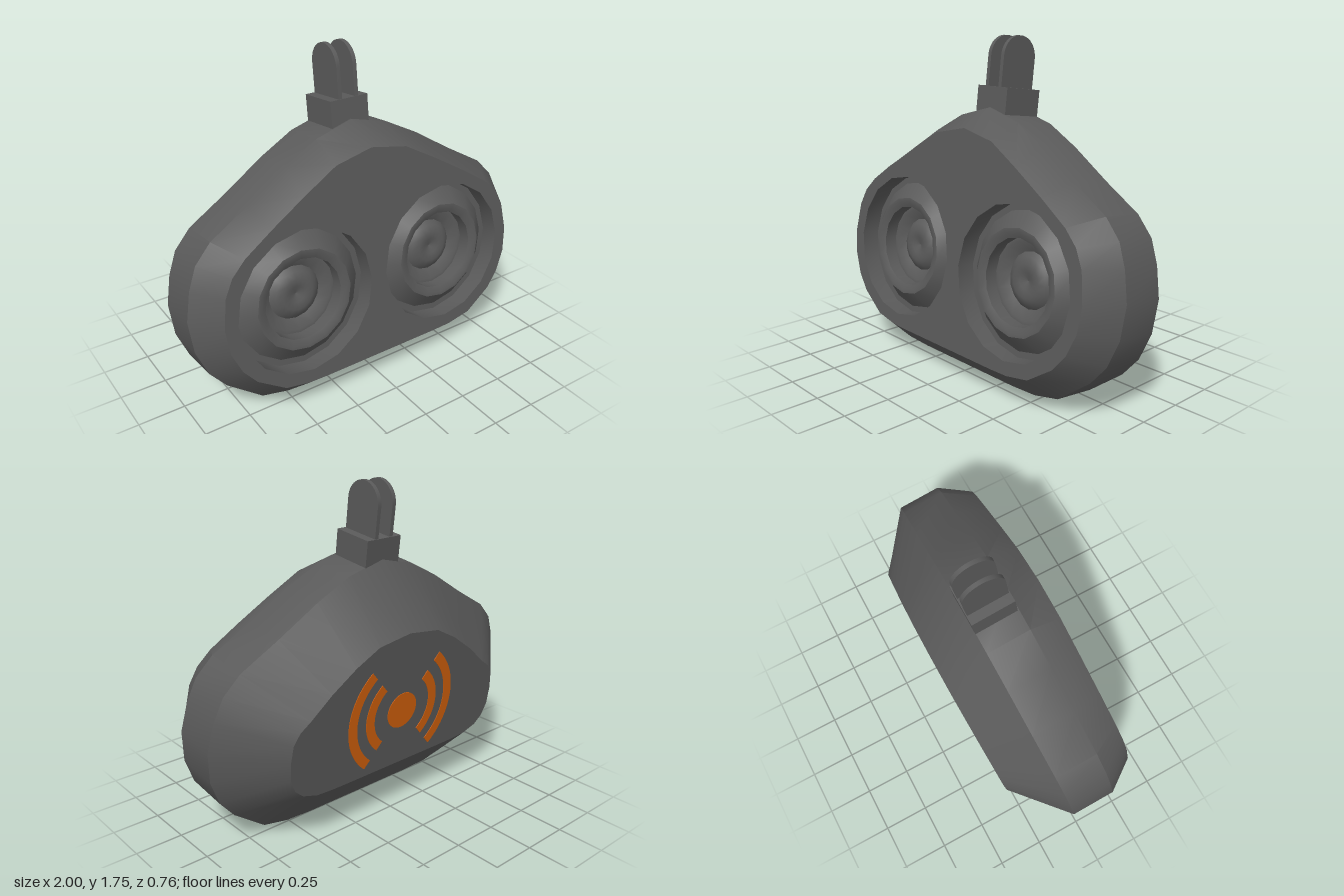
import * as THREE from 'three';
import { toCreasedNormals } from 'three/addons/utils/BufferGeometryUtils.js';

const CREASE = 0.56;
const SIDES = 16;
const SPEAKER = { x: 0.43, y: 0.576, r: 0.385 };

// Right half outlines of the housing, from top centre to bottom centre
const FRONT = [[0, 1.271], [0.21, 1.228], [0.4, 1.12], [0.58, 1.01], [0.74, 0.905], [0.815, 0.83], [0.86, 0.74], [0.885, 0.585],
  [0.87, 0.45], [0.82, 0.335], [0.75, 0.25], [0.6, 0.15], [0.46, 0.125], [0.35, 0.122], [0, 0.122]];
const SIDE = [[0, 1.382], [0.214, 1.325], [0.4, 1.227], [0.62, 1.088], [0.83, 0.965], [0.92, 0.87], [0.968, 0.752], [1, 0.6],
  [0.985, 0.43], [0.93, 0.29], [0.845, 0.187], [0.66, 0.045], [0.51, 0.012], [0.35, 0.005], [0, 0.005]];
const BACK = [[0, 1.073], [0.2, 1.045], [0.34, 0.97], [0.48, 0.87], [0.6, 0.765], [0.66, 0.72], [0.695, 0.66], [0.706, 0.57],
  [0.7, 0.47], [0.67, 0.4], [0.62, 0.355], [0.53, 0.325], [0.43, 0.319], [0.32, 0.318], [0, 0.318]];

// Mirror a half outline into a closed ring
function ring(half) {
  const left = half.slice(1, -1).reverse().map(([x, y]) => [-x, y]);
  return [...half, ...left].map(([x, y]) => new THREE.Vector2(x, y));
}

// Skin a list of rings placed along z, from front to back
function loft(sections) {
  const n = sections[0].pts.length;
  const pos = [], index = [];
  for (const { pts, z } of sections) for (const p of pts) pos.push(p.x, p.y, z);
  for (let s = 0; s < sections.length - 1; s++) {
    for (let i = 0; i < n; i++) {
      const a = s * n + i, b = s * n + (i + 1) % n;
      index.push(a, b, a + n, b, b + n, a + n);
    }
  }
  const g = new THREE.BufferGeometry();
  g.setAttribute('position', new THREE.Float32BufferAttribute(pos, 3));
  g.setIndex(index);
  return toCreasedNormals(g, CREASE);
}

// Curved bar of the signal mark, centred on angle mid
function arcBar(inner, outer, mid, spread) {
  const s = new THREE.Shape();
  s.absarc(0, 0, outer, mid - spread, mid + spread, false);
  s.absarc(0, 0, inner, mid + spread, mid - spread, true);
  return s;
}

export function createModel() {
  const grey = new THREE.MeshStandardMaterial({ color: 0x5a5a5a });
  grey.name = 'charcoal grey';
  const orange = new THREE.MeshStandardMaterial({ color: 0xd2600c });
  orange.name = 'orange';

  const model = new THREE.Group();
  model.name = 'twinSpeakerUnit';
  const body = new THREE.Group();
  body.name = 'tiltedBody';
  body.rotation.x = -0.122;
  model.add(body);

  const add = (name, geometry, material, x = 0, y = 0, z = 0) => {
    const m = new THREE.Mesh(geometry, material);
    m.name = name;
    m.position.set(x, y, z);
    body.add(m);
    return m;
  };

  // Housing shell with bevelled front and back
  const side = ring(SIDE);
  add('housing', loft([
    { pts: ring(FRONT), z: 0.398 },
    { pts: side, z: 0.235 },
    { pts: side, z: 0 },
    { pts: ring(BACK), z: -0.25 },
  ]), grey);

  // Front panel with two openings
  const panel = new THREE.Shape(ring(FRONT));
  for (const sx of [-1, 1]) {
    const hole = [];
    for (let i = 0; i < SIDES; i++) {
      const a = (i / SIDES) * Math.PI * 2;
      hole.push(new THREE.Vector2(sx * SPEAKER.x + SPEAKER.r * Math.cos(a), SPEAKER.y + SPEAKER.r * Math.sin(a)));
    }
    panel.holes.push(new THREE.Path(hole));
  }
  add('frontPanel', new THREE.ShapeGeometry(panel), grey, 0, 0, 0.398);

  // Back panel
  const backPanel = new THREE.ShapeGeometry(new THREE.Shape(ring(BACK)));
  backPanel.rotateY(Math.PI);
  add('backPanel', backPanel, grey, 0, 0, -0.25);

  // Speakers: recess, raised surround, inner cone and dimpled cap
  const profile = [
    [0.385, 0], [0.385, -0.1], [0.352, -0.1], [0.268, -0.025], [0.25, -0.025], [0.218, -0.04],
    [0.218, -0.11], [0.2, -0.11], [0.145, -0.14], [0.12, -0.115], [0.085, -0.1], [0.045, -0.105], [0, -0.125],
  ].map(([r, d]) => new THREE.Vector2(r, d));
  const speaker = new THREE.LatheGeometry(profile, SIDES);
  speaker.rotateX(Math.PI / 2);
  const speakerGeometry = toCreasedNormals(speaker, CREASE);
  add('leftSpeaker', speakerGeometry, grey, SPEAKER.x, SPEAKER.y, 0.398);
  add('rightSpeaker', speakerGeometry, grey, -SPEAKER.x, SPEAKER.y, 0.398);

  // Mount block and its two rounded prongs
  add('mountBlock', new THREE.BoxGeometry(0.22, 0.2, 0.23), grey, 0, 1.39, 0.113);
  const tab = new THREE.Shape();
  tab.moveTo(-0.11, 0);
  tab.lineTo(0.11, 0);
  tab.lineTo(0.11, 0.19);
  tab.absarc(0, 0.19, 0.11, 0, Math.PI, false);
  tab.closePath();
  const prong = new THREE.ExtrudeGeometry(tab, { depth: 0.022, bevelEnabled: false, curveSegments: 10 });
  prong.translate(0, 0, -0.011);
  prong.rotateY(Math.PI / 2);
  const prongGeometry = toCreasedNormals(prong, CREASE);
  for (const sx of [1, -1]) {
    add(sx > 0 ? 'leftProng' : 'rightProng', prongGeometry, grey, sx * 0.048, 1.458, 0.113);
  }

  // Signal mark on the back: a dot with two arcs on each side
  const shapes = [new THREE.Shape().absarc(0, 0, 0.1, 0, Math.PI * 2, false)];
  for (const mid of [0, Math.PI]) {
    shapes.push(arcBar(0.19, 0.245, mid, 0.87), arcBar(0.305, 0.36, mid, 0.87));
  }
  const mark = new THREE.ExtrudeGeometry(shapes, { depth: 0.004, bevelEnabled: false, curveSegments: 16 });
  add('signalMark', mark, orange, 0, 0.64, -0.253);

  return model;
}
